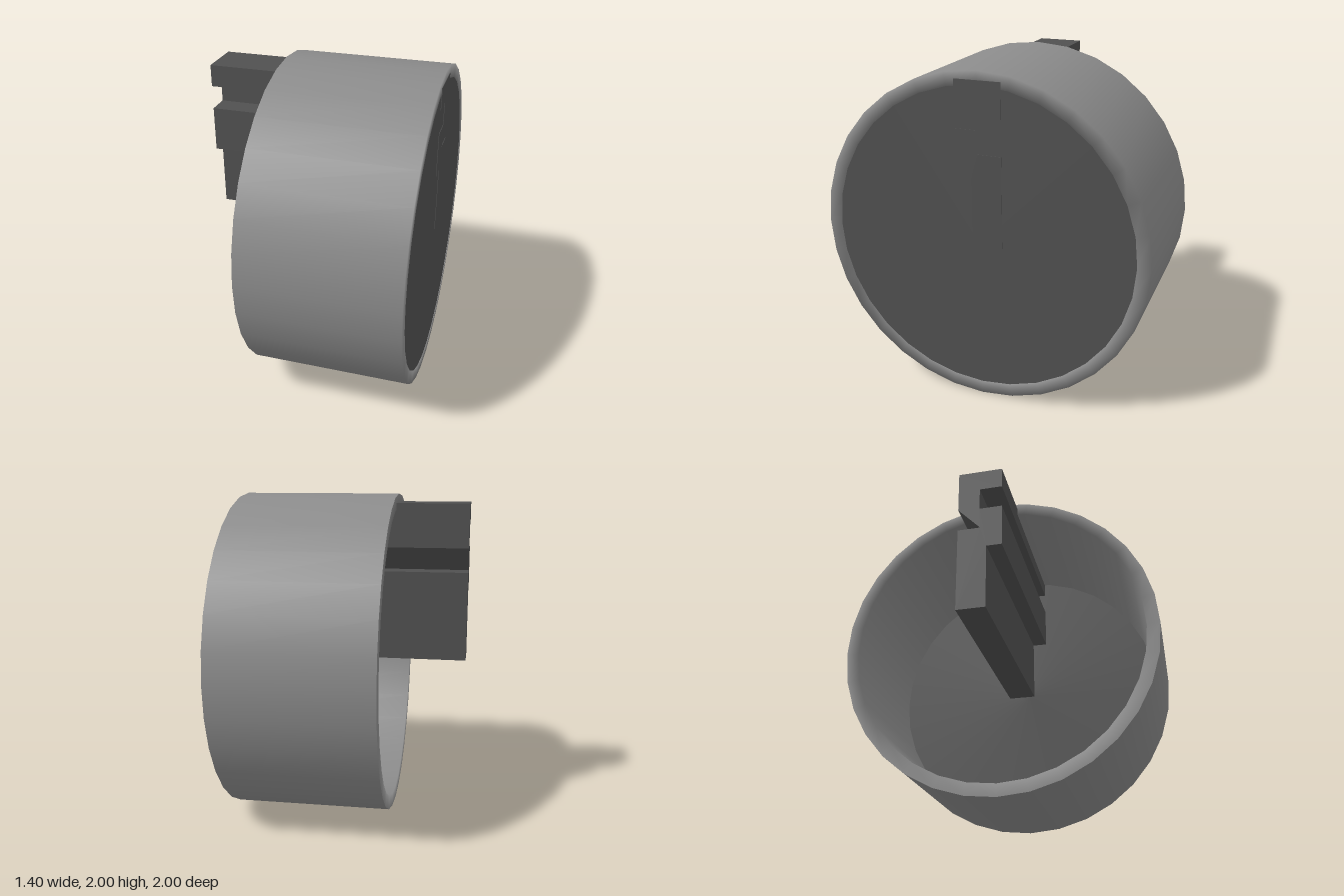
import * as THREE from 'three';

function addPart(group, name, geometry, color, side = THREE.FrontSide) {
  const mesh = new THREE.Mesh(geometry, new THREE.MeshStandardMaterial({ color, side }));
  mesh.name = name;
  group.add(mesh);
}

export function createModel() {
  const group = new THREE.Group();
  const sides = 32, inner = 0.92, back = -0.262, front = 0.697;
  const lightGrey = 0x8b8b8b, darkGrey = 0x505050;

  // Thick ring lying along x, smooth-shaded over its closed-end rim
  const profile = [[1, back], [1, front], [inner, front], [inner, back], [1, back]]
    .map(([r, h]) => new THREE.Vector2(r, h));
  const ring = new THREE.LatheGeometry(profile, sides);
  ring.rotateZ(-Math.PI / 2).translate(0, 1, 0);
  addPart(group, 'ring', ring, lightGrey);

  // Thin disc closing one end of the ring
  const disc = new THREE.CircleGeometry(inner, sides);
  disc.rotateY(Math.PI / 2).translate(front, 1, 0);
  addPart(group, 'endDisc', disc, darkGrey, THREE.DoubleSide);

  // Bar with a square groove and a sloping one: section as (z, y), extruded along x
  const section = [
    [-0.14, 1.948], [0.135, 1.948], [0.135, 1.815], [-0.005, 1.815], [-0.005, 1.672],
    [0.135, 1.672], [0.135, 1.4], [0.04, 1.4], [0.04, 0.99], [-0.14, 0.99],
    [-0.14, 1.535], [0, 1.535], [-0.14, 1.682],
  ].map(([z, y]) => new THREE.Vector2(-z, y));
  const bar = new THREE.ExtrudeGeometry(new THREE.Shape(section), { depth: 1.402, bevelEnabled: false });
  bar.rotateY(Math.PI / 2).translate(-0.702, 0, 0);
  addPart(group, 'groovedBar', bar, darkGrey);

  return group;
}
